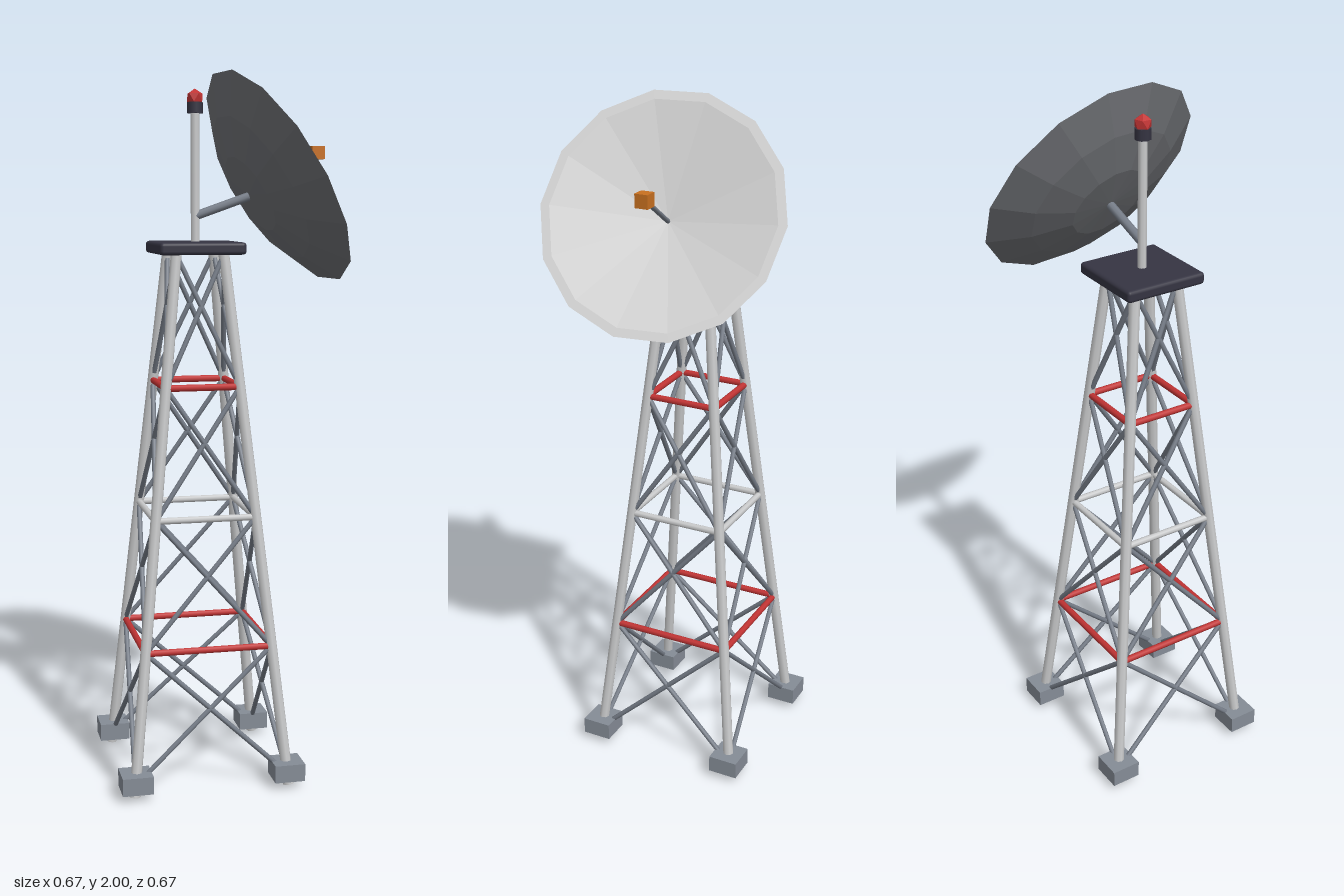
import * as THREE from 'three';
import { RoundedBoxGeometry } from 'three/addons/geometries/RoundedBoxGeometry.js';

const paint = (name, color) => {
  const m = new THREE.MeshStandardMaterial({ color });
  m.name = name;
  return m;
};

export function createModel() {
  const white = paint('painted steel', 0xcacbcc);
  const dishWhite = paint('dish white', 0xd4d4d4);
  const dishGrey = paint('dish back grey', 0x6c6e72);
  const steel = paint('bare steel', 0x767d88);
  const concrete = paint('concrete', 0x858c96);
  const red = paint('signal red', 0xc23434);
  const dark = paint('dark deck', 0x353442);
  const orange = paint('feed orange', 0xc87020);

  const model = new THREE.Group();
  model.name = 'antennaTower';
  const V = (x, y, z) => new THREE.Vector3(x, y, z);

  const add = (name, geometry, material, position, parent = model) => {
    const mesh = new THREE.Mesh(geometry, material);
    mesh.name = name;
    if (position) mesh.position.copy(position);
    parent.add(mesh);
    return mesh;
  };

  // Round bar between two points
  const bar = (name, a, b, radius, material, parent = model) => {
    const dir = b.clone().sub(a);
    const mesh = add(name, new THREE.CylinderGeometry(radius, radius, dir.length(), 8), material,
      a.clone().add(b).multiplyScalar(0.5), parent);
    mesh.quaternion.setFromUnitVectors(V(0, 1, 0), dir.normalize());
    return mesh;
  };

  // Tapering lattice tower
  const tower = new THREE.Group();
  tower.name = 'tower';
  tower.position.set(-0.074, 0, 0.012);
  model.add(tower);
  const corners = [[1, 1], [1, -1], [-1, -1], [-1, 1]];
  const corner = (i, y) => {
    const half = 0.222 - 0.103 * y;
    const [sx, sz] = corners[i % 4];
    return V(sx * half, y, sz * half);
  };
  const levels = [0.033, 0.4, 0.767, 1.133, 1.5];
  const ringPaint = [null, red, white, red, null];

  for (let i = 0; i < 4; i++) {
    bar('leg', corner(i, 0.002), corner(i, 1.51), 0.0155, white, tower);
    const foot = corner(i, 0.046);
    add('footing', new THREE.BoxGeometry(0.087, 0.05, 0.087), concrete, foot, tower);
    levels.forEach((y, k) => {
      if (ringPaint[k]) bar('ringBar', corner(i, y), corner(i + 1, y), 0.0095, ringPaint[k], tower);
      if (k === levels.length - 1) return;
      bar('crossBrace', corner(i, y), corner(i + 1, levels[k + 1]), 0.0072, steel, tower);
      bar('crossBrace', corner(i + 1, y), corner(i, levels[k + 1]), 0.0072, steel, tower);
    });
  }

  // Deck, mast and beacon
  add('deck', new RoundedBoxGeometry(0.243, 0.034, 0.243, 2, 0.01), dark, V(0, 1.517, 0), tower);
  bar('mast', V(0, 1.52, 0), V(0, 1.9, 0), 0.0125, white, tower);
  bar('beaconBase', V(0, 1.887, 0), V(0, 1.917, 0), 0.0225, dark, tower);
  const beacon = add('beacon', new THREE.IcosahedronGeometry(0.025, 0), red, V(0, 1.929, 0), tower);
  beacon.rotation.z = -Math.atan(2 / (1 + Math.sqrt(5)));

  // Faceted dish, axis along its local y
  const dish = new THREE.Group();
  dish.name = 'dish';
  dish.position.set(0.165, 1.7125, -0.001);
  dish.rotation.set(0, 0.148, -Math.PI / 3, 'YXZ');
  model.add(dish);
  const facetLathe = (points) => {
    const g = new THREE.LatheGeometry(points.map(([r, y]) => new THREE.Vector2(r, y)), 14).toNonIndexed();
    g.computeVertexNormals();
    return g;
  };
  add('dishBack', facetLathe([[0, -0.1], [0.12, -0.093], [0.23, -0.058], [0.34, 0]]), dishGrey, null, dish);
  add('dishFace', facetLathe([[0.34, 0], [0.315, 0], [0, -0.065]]), dishWhite, null, dish);
  bar('feedRod', V(0, -0.066, 0), V(0, 0.14, 0), 0.0065, steel, dish);

  // Feed box at the tip of the rod, and the arm holding the dish
  add('feedBox', new THREE.BoxGeometry(0.037, 0.037, 0.037), orange, V(0.288, 1.783, -0.02));
  bar('dishArm', V(-0.074, 1.605, 0.012), V(0.08, 1.659, 0.012), 0.0125, steel);

  return model;
}
